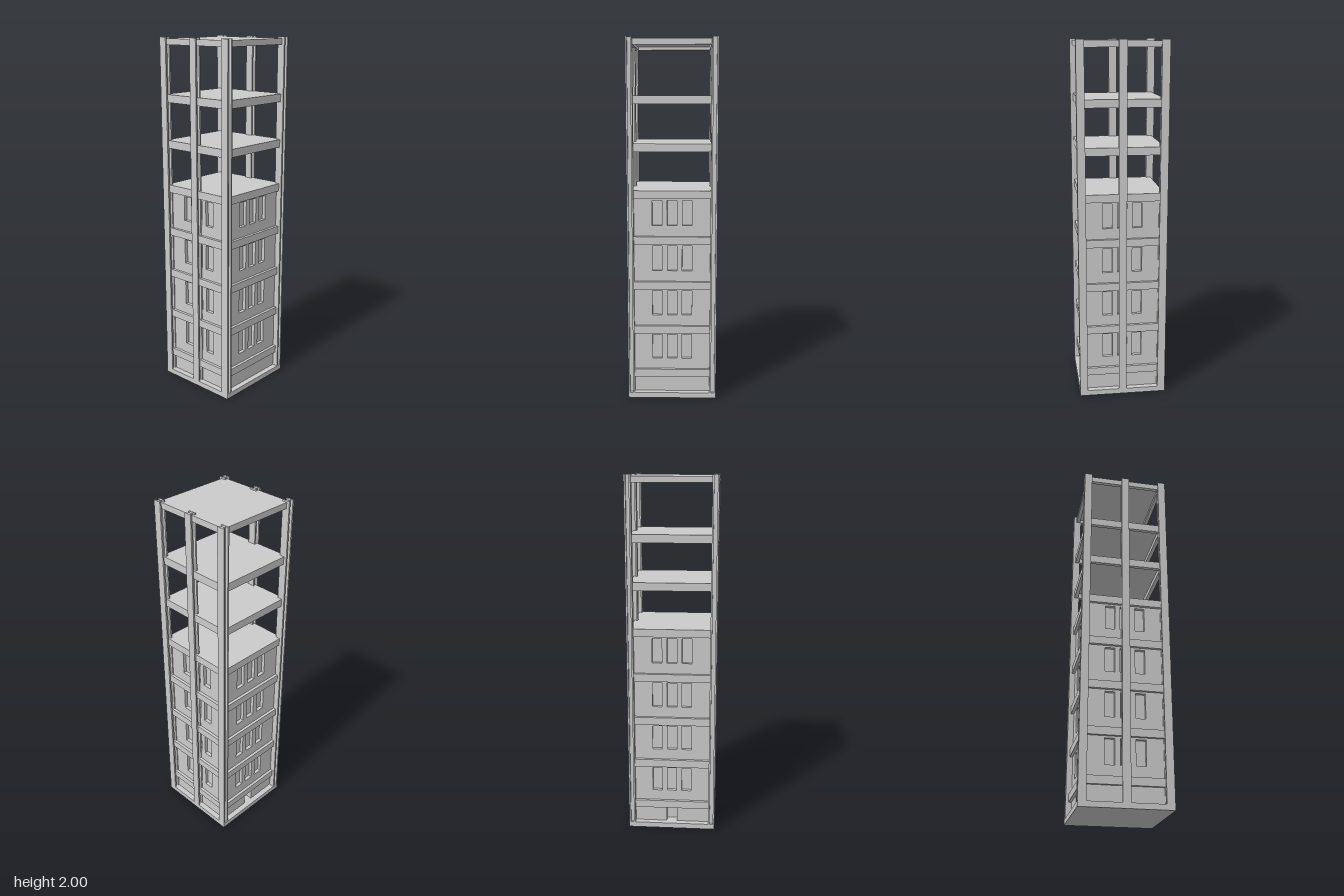
import * as THREE from 'three';

const material = new THREE.MeshStandardMaterial({ color: 0xcccccc, flatShading: true });

export function createModel() {
  const model = new THREE.Group();
  model.name = 'frameTower';

  const add = (parent, name, geometry, x = 0, y = 0, z = 0) => {
    const mesh = new THREE.Mesh(geometry, material);
    mesh.name = name;
    mesh.position.set(x, y, z);
    parent.add(mesh);
    return mesh;
  };
  const box = (parent, name, w, h, d, x, y, z) =>
    add(parent, name, new THREE.BoxGeometry(w, h, d), x, y, z);

  // Foundation plate
  box(model, 'base', 0.494, 0.03, 0.494, 0, 0.015, 0);

  // H-section columns: flanges face the sides, web runs across
  const f = 0.018, t = 0.009, l = 0.022, w = 0.007;
  const section = new THREE.Shape([
    [-f, -l], [-t, -l], [-t, -w], [t, -w], [t, -l], [f, -l],
    [f, l], [t, l], [t, w], [-t, w], [-t, l], [-f, l],
  ].map(([x, y]) => new THREE.Vector2(x, y)));
  const columnGeometry = new THREE.ExtrudeGeometry(section, { depth: 1.97, bevelEnabled: false });
  columnGeometry.rotateX(-Math.PI / 2);
  for (const x of [-0.229, 0.229]) {
    for (const z of [-0.225, 0, 0.225]) add(model, 'column', columnGeometry, x, 0.03, z);
  }

  // Floors: thin deck on a rim of edge beams
  const edge = 0.231, rim = 0.022;
  const addFloor = (top, height) => {
    const floor = new THREE.Group();
    floor.name = 'floor';
    floor.position.y = top;
    box(floor, 'deck', 2 * edge, 0.014, 2 * edge, 0, -0.007, 0);
    const h = height - 0.014, y = -0.014 - h / 2;
    for (const s of [-1, 1]) {
      box(floor, 'crossBeam', 2 * edge, h, rim, 0, y, s * (edge - rim / 2));
      box(floor, 'sideBeam', rim, h, 2 * (edge - rim), s * (edge - rim / 2), y, 0);
    }
    model.add(floor);
  };
  const floorTops = [0, 1, 2, 3, 4, 5, 6].map((i) => 0.163 + i * 0.255);
  floorTops.forEach((top) => addFloor(top, 0.044));
  addFloor(1.992, 0.033);

  // Wall panels with rectangular openings [x0, x1, y0, y1]
  const rect = (Type, x0, x1, y0, y1) => {
    const path = new Type();
    path.moveTo(x0, y0);
    path.lineTo(x1, y0);
    path.lineTo(x1, y1);
    path.lineTo(x0, y1);
    path.closePath();
    return path;
  };
  const face = 0.214, thick = 0.02;
  const wallGeometry = (half, height, openings) => {
    const shape = rect(THREE.Shape, -half, half, 0, height);
    shape.holes = openings.map((o) => rect(THREE.Path, ...o));
    const geometry = new THREE.ExtrudeGeometry(shape, { depth: thick, bevelEnabled: false });
    return geometry.translate(0, 0, face - thick);
  };

  // Four enclosed storeys, three windows on every side
  const wallHeight = 0.211;
  const windows = [-0.083, 0, 0.083].map((x) => [x - 0.027, x + 0.027, 0.06, 0.2]);
  const broadWall = wallGeometry(face, wallHeight, windows);
  const sideWall = wallGeometry(face - thick, wallHeight, windows);
  const core = 2 * (face - thick) - 0.002;
  for (let i = 0; i < 4; i++) {
    const storey = new THREE.Group();
    storey.name = 'storey';
    storey.position.y = floorTops[i];
    for (let k = 0; k < 4; k++) {
      add(storey, 'windowWall', k % 2 ? sideWall : broadWall).rotation.y = k * Math.PI / 2;
    }
    box(storey, 'windowPanes', core, wallHeight, core, 0, wallHeight / 2, 0);
    model.add(storey);
  }

  // Low ground level with a doorway at the back
  const ground = new THREE.Group();
  ground.name = 'groundLevel';
  ground.position.y = 0.03;
  const h = 0.09;
  add(ground, 'frontWall', wallGeometry(face, h, []));
  for (const s of [-1, 1]) {
    add(ground, 'sideWall', wallGeometry(face - thick, h, [])).rotation.y = s * Math.PI / 2;
    box(ground, 'backWall', face - 0.03, h, thick, s * (face + 0.03) / 2, h / 2, -face + thick / 2);
  }
  box(ground, 'door', 0.08, h, 0.01, 0, h / 2, -face + 0.045);
  for (const s of [-1, 1]) box(ground, 'doorJamb', 0.01, h, 0.04, s * 0.035, h / 2, -face + 0.03);
  model.add(ground);

  return model;
}
